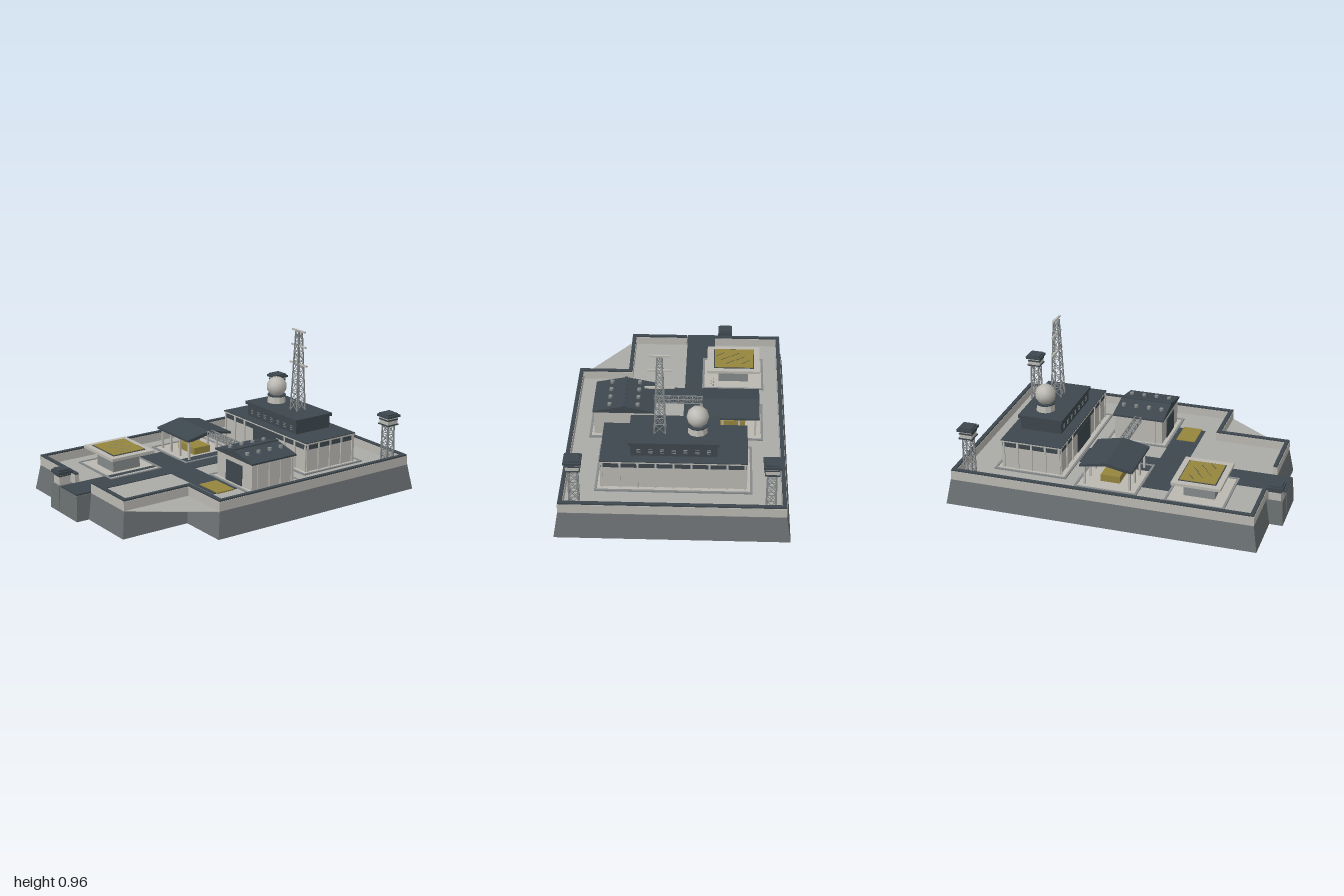
import * as THREE from 'three';
import { mergeGeometries } from 'three/addons/utils/BufferGeometryUtils.js';

const mat = (name, color) => {
  const m = new THREE.MeshStandardMaterial({ color });
  m.name = name;
  return m;
};

export function createModel() {
  const root = new THREE.Group();
  root.name = 'fortifiedBase';
  const rock = mat('foundation grey', 0x6b7072);
  const concrete = mat('pale concrete', 0xbab8b1);
  const ground = mat('ground grey', 0xaaaaa7);
  const slate = mat('dark slate', 0x3d474e);
  const steel = mat('steel grey', 0x85898a);
  const yellow = mat('marking yellow', 0x95853d);
  const G = 0.162; // ground level

  const add = (parent, name, geo, material) => {
    const m = new THREE.Mesh(geo, material);
    m.name = name;
    parent.add(m);
    return m;
  };
  const group = (name) => {
    const g = new THREE.Group();
    g.name = name;
    root.add(g);
    return g;
  };
  // Box given by its extents
  const boxGeo = (x0, x1, y0, y1, z0, z1) =>
    new THREE.BoxGeometry(x1 - x0, y1 - y0, z1 - z0).translate((x0 + x1) / 2, (y0 + y1) / 2, (z0 + z1) / 2);
  const box = (p, name, m, ...e) => add(p, name, boxGeo(...e), m);
  // Plan outline [x, z] raised to a height
  const toShape = (pts) => new THREE.Shape(pts.map(([x, z]) => new THREE.Vector2(x, -z)));
  const raise = (shape, y0, h) =>
    new THREE.ExtrudeGeometry(shape, { depth: h, bevelEnabled: false }).rotateX(-Math.PI / 2).translate(0, y0, 0);
  // Block whose top edges lean in towards (cx, cz)
  const battered = (pts, h, inset, cx, cz) => {
    const g = raise(toShape(pts), 0, h), a = g.attributes.position;
    for (let i = 0; i < a.count; i++) {
      if (a.getY(i) < h / 2) continue;
      a.setX(i, a.getX(i) - inset * Math.sign(a.getX(i) - cx));
      a.setZ(i, a.getZ(i) - inset * Math.sign(a.getZ(i) - cz));
    }
    g.computeVertexNormals();
    return g;
  };
  const rect = (x0, x1, z0, z1) => [[x0, z1], [x1, z1], [x1, z0], [x0, z0]];
  // Square bar between two points
  const beam = (a, b, t) => {
    const A = new THREE.Vector3(...a), B = new THREE.Vector3(...b), d = B.clone().sub(A);
    const q = new THREE.Quaternion().setFromUnitVectors(new THREE.Vector3(0, 1, 0), d.clone().normalize());
    return new THREE.BoxGeometry(t, d.length(), t).applyQuaternion(q).translate(...A.add(B).multiplyScalar(0.5).toArray());
  };
  // Square lattice tower with crossed braces
  const lattice = (x, z, y0, y1, r0, r1, bays, t) => {
    const corner = (k, f) => {
      const r = r0 + (r1 - r0) * f, c = [[1, 1], [-1, 1], [-1, -1], [1, -1]][k % 4];
      return [x + c[0] * r, y0 + (y1 - y0) * f, z + c[1] * r];
    };
    const parts = [];
    for (let k = 0; k < 4; k++) {
      parts.push(beam(corner(k, 0), corner(k, 1), t));
      for (let i = 0; i < bays; i++) {
        const a = i / bays, b = (i + 1) / bays;
        parts.push(beam(corner(k, a), corner(k + 1, b), t * 0.4), beam(corner(k + 1, a), corner(k, b), t * 0.4),
          beam(corner(k, b), corner(k + 1, b), t * 0.5));
      }
    }
    return mergeGeometries(parts);
  };
  // Curb framing a building plot
  const curb = (p, x0, x1, z0, z1) => {
    const s = toShape(rect(x0, x1, z0, z1));
    s.holes.push(toShape(rect(x0 + 0.014, x1 - 0.014, z0 + 0.014, z1 - 0.014)));
    add(p, 'plotCurb', raise(s, G, 0.008), steel);
    box(p, 'plotPaving', concrete, x0 + 0.014, x1 - 0.014, G, G + 0.004, z0 + 0.014, z1 - 0.014);
  };

  // Foundation with a corner notch, and the entrance blocks
  const base = group('foundation');
  add(base, 'foundationBlock', battered(
    [[-0.68, 0.92], [0.362, 0.92], [0.362, 0.48], [0.68, 0.48], [0.68, -1], [-0.68, -1]], 0.157, 0.026, 0, 0), rock);
  add(base, 'gateBlock', battered(rect(-0.235, -0.022, 0.85, 1), 0.157, 0.008, -0.13, 0.925), rock);
  add(base, 'guardBlock', battered(rect(-0.34, -0.235, 0.85, 1), 0.157, 0.008, -0.288, 0.925), rock);
  add(base, 'ground', raise(toShape(
    [[-0.65, 0.89], [0.332, 0.89], [0.332, 0.45], [0.65, 0.45], [0.65, -0.97], [-0.65, -0.97]]), 0.157, 0.005), ground);
  add(base, 'notchDeck', raise(toShape([[0.334, 0.89], [0.654, 0.452], [0.334, 0.452]]), 0.154, 0.004), ground);

  // Perimeter wall, open at the gate
  const walls = group('perimeterWall');
  const path = [[-0.03, 0.88], [0.322, 0.88], [0.322, 0.44], [0.64, 0.44], [0.64, -0.956], [-0.64, -0.956], [-0.64, 0.88], [-0.22, 0.88]];
  for (let i = 0; i < path.length - 1; i++) {
    const [ax, az] = path[i], [bx, bz] = path[i + 1];
    const run = (name, m, w, y0, y1) => {
      const ex = az === bz ? 0 : w, ez = az === bz ? w : 0;
      const e0 = i === 0 ? 0 : w, e1 = i === path.length - 2 ? 0 : w;
      const x0 = ex ? ax - w : Math.min(ax, bx) - (ax < bx ? e0 : e1);
      const x1 = ex ? ax + w : Math.max(ax, bx) + (ax < bx ? e1 : e0);
      const z0 = ez ? az - w : Math.min(az, bz) - w, z1 = ez ? az + w : Math.max(az, bz) + w;
      box(walls, name, m, x0, x1, y0, y1, z0, z1);
    };
    run('wallSegment', concrete, 0.0145, 0.157, 0.215);
    run('wallCap', slate, 0.012, 0.215, 0.224);
  }

  // Roads and ground markings
  const roads = group('roads');
  box(roads, 'mainRoad', slate, -0.22, -0.035, 0.157, G + 0.004, -0.305, 0.99);
  box(roads, 'crossRoad', slate, -0.415, 0.41, 0.157, G + 0.0035, 0.157, 0.33);
  box(roads, 'rearMarking', yellow, -0.115, 0.11, G, G + 0.008, -0.26, -0.125);
  box(roads, 'sideMarking', yellow, 0.235, 0.42, G, G + 0.008, 0.185, 0.305);

  // Guard booth beside the gate
  const booth = group('guardBooth');
  box(booth, 'boothBody', concrete, -0.325, -0.255, 0.157, 0.222, 0.905, 0.98);
  box(booth, 'boothWindows', slate, -0.327, -0.253, 0.208, 0.216, 0.903, 0.982);
  box(booth, 'boothRoof', slate, -0.336, -0.242, 0.222, 0.24, 0.895, 0.991);
  box(booth, 'boothRoofTop', slate, -0.325, -0.253, 0.24, 0.25, 0.905, 0.981);

  // Rear headquarters
  const hq = group('headquarters');
  curb(hq, -0.46, 0.46, -0.77, -0.31);
  box(hq, 'lowerStorey', concrete, -0.42, 0.42, G, 0.342, -0.725, -0.355);
  box(hq, 'windowBand', slate, -0.423, 0.423, 0.305, 0.334, -0.728, -0.352);
  box(hq, 'roofEdge', concrete, -0.43, 0.43, 0.339, 0.347, -0.735, -0.345);
  box(hq, 'roof', slate, -0.429, 0.429, 0.347, 0.352, -0.734, -0.346);
  box(hq, 'mainDoor', slate, -0.115, 0.12, G, 0.305, -0.356, -0.35);
  for (let i = 0; i <= 8; i++) {
    const x = -0.416 + i * 0.104;
    box(hq, 'rearPilaster', concrete, x - 0.006, x + 0.006, G, 0.34, -0.733, -0.72);
    if (x < -0.12 || x > 0.125) box(hq, 'frontPilaster', concrete, x - 0.006, x + 0.006, G, 0.34, -0.36, -0.347);
  }
  for (let i = 0; i <= 4; i++) {
    const z = -0.718 + i * 0.089;
    for (const s of [-1, 1]) box(hq, 'sidePilaster', concrete, s * 0.421 - 0.007, s * 0.421 + 0.007, G, 0.34, z - 0.006, z + 0.006);
  }
  box(hq, 'upperStorey', slate, -0.252, 0.252, 0.352, 0.43, -0.672, -0.408);
  box(hq, 'upperRoof', slate, -0.264, 0.264, 0.428, 0.447, -0.684, -0.396);
  for (let i = 0; i < 7; i++)
    for (let j = 0; j < 3; j++)
      for (const z of [-0.673, -0.407])
        box(hq, 'louvre', steel, -0.216 + i * 0.068, -0.192 + i * 0.068, 0.372 + j * 0.011, 0.375 + j * 0.011, z - 0.002, z + 0.002);

  // Faceted dome on its pedestal
  const dome = group('radarDome');
  add(dome, 'pedestal', new THREE.CylinderGeometry(0.053, 0.06, 0.045, 10).toNonIndexed().translate(-0.135, 0.469, -0.55), concrete).geometry.computeVertexNormals();
  add(dome, 'pedestalRing', new THREE.CylinderGeometry(0.06, 0.06, 0.008, 12).translate(-0.135, 0.494, -0.55), slate);
  add(dome, 'domeShell', new THREE.IcosahedronGeometry(0.066, 1).translate(-0.135, 0.55, -0.55), concrete);

  // Radio mast
  const mast = group('radioMast');
  add(mast, 'mastLattice', lattice(0.085, -0.55, 0.447, 0.955, 0.033, 0.014, 8, 0.007), steel);
  for (const [y, w] of [[0.745, 0.085], [0.862, 0.071], [0.958, 0.061]])
    box(mast, 'crossArm', concrete, 0.085 - w, 0.085 + w, y - 0.005, y + 0.005, -0.556, -0.544);

  // Rear corner watchtowers
  for (const s of [-1, 1]) {
    const t = group(s > 0 ? 'leftWatchtower' : 'rightWatchtower'), x = s * 0.564, z = -0.885;
    const tier = (name, m, r, y0, y1) => box(t, name, m, x - r, x + r, y0, y1, z - r, z + r);
    add(t, 'towerLegs', lattice(x, z, G, 0.415, 0.027, 0.025, 4, 0.008), steel);
    tier('cabinFloor', slate, 0.044, 0.412, 0.42);
    tier('cabin', concrete, 0.039, 0.42, 0.464);
    tier('cabinWindows', slate, 0.041, 0.443, 0.453);
    tier('towerRoof', slate, 0.051, 0.464, 0.478);
    tier('towerRoofTop', slate, 0.041, 0.478, 0.487);
  }

  // Gabled hall on the left
  const hall = group('gabledHall');
  curb(hall, 0.115, 0.535, -0.235, 0.155);
  const gable = (pts, z0, z1) =>
    new THREE.ExtrudeGeometry(new THREE.Shape(pts.map((p) => new THREE.Vector2(...p))), { depth: z1 - z0, bevelEnabled: false }).translate(0, 0, z0);
  add(hall, 'hallBody', gable([[0.15, G], [0.5, G], [0.5, 0.33], [0.325, 0.366], [0.15, 0.33]], -0.195, 0.115), concrete);
  add(hall, 'hallRoof', gable([[0.137, 0.325], [0.15, 0.327], [0.5, 0.327], [0.513, 0.325], [0.513, 0.336], [0.325, 0.374], [0.137, 0.336]], -0.205, 0.125), slate);
  box(hall, 'ridgeCap', slate, 0.315, 0.335, 0.368, 0.379, -0.205, 0.125);
  box(hall, 'hallDoor', slate, 0.245, 0.405, G, 0.293, 0.114, 0.121);
  for (const s of [-1, 1])
    for (let i = 0; i < 4; i++) {
      const z = -0.165 + i * 0.083, x = 0.325 + s * 0.175, v = 0.325 + s * 0.086;
      add(hall, 'roofVent', new THREE.CylinderGeometry(0.013, 0.013, 0.024, 8).translate(v, 0.36, z), steel);
      box(hall, 'hallPilaster', concrete, x - 0.007, x + 0.007, G, 0.328, z - 0.02, z - 0.01);
    }

  // Open shed on the right
  const shed = group('openShed');
  curb(shed, -0.53, -0.135, -0.235, 0.155);
  add(shed, 'shedRoof', gable([[-0.125, 0.29], [0, 0.315], [0.165, 0.29], [0.165, 0.303], [0, 0.336], [-0.165, 0.303], [-0.165, 0.29]], -0.175, 0.175)
    .rotateY(Math.PI / 2).translate(-0.33, 0, -0.04), slate);
  for (const z of [-0.18, 0.1]) {
    box(shed, 'shedBeam', concrete, -0.49, -0.17, 0.278, 0.292, z - 0.006, z + 0.006);
    for (const x of [-0.48, -0.38, -0.28, -0.18]) box(shed, 'shedPost', concrete, x - 0.006, x + 0.006, G, 0.29, z - 0.006, z + 0.006);
  }
  box(shed, 'storedCrates', yellow, -0.42, -0.24, G, 0.21, -0.1, 0.02);

  // Truss bridge linking shed and hall
  const truss = [];
  for (const z of [-0.06, -0.02])
    for (const y of [0.309, 0.336]) truss.push(beam([-0.155, y, z], [0.15, y, z], 0.005));
  for (let i = 0; i <= 10; i++) {
    const x = -0.15 + i * 0.029;
    for (const y of [0.309, 0.336]) truss.push(beam([x, y, -0.06], [x, y, -0.02], 0.004));
    for (const z of [-0.06, -0.02]) {
      truss.push(beam([x, 0.309, z], [x, 0.336, z], 0.004));
      if (i < 10) truss.push(beam([x, i % 2 ? 0.336 : 0.309, z], [x + 0.029, i % 2 ? 0.309 : 0.336, z], 0.003));
    }
  }
  add(group('pipeBridge'), 'bridgeTruss', mergeGeometries(truss), steel);

  // Raised landing platform
  const pad = group('landingPlatform');
  curb(pad, -0.54, -0.145, 0.325, 0.69);
  box(pad, 'platformCore', steel, -0.44, -0.25, G, 0.262, 0.42, 0.61);
  box(pad, 'platformDeck', concrete, -0.515, -0.175, 0.262, 0.28, 0.36, 0.66);
  box(pad, 'markingBorder', slate, -0.477, -0.218, 0.28, 0.283, 0.395, 0.625);
  box(pad, 'landingMarking', yellow, -0.471, -0.224, 0.28, 0.286, 0.401, 0.619);
  for (let i = 0; i < 6; i++) {
    const x = -0.43 + i * 0.033, z = 0.46 + (i % 3) * 0.045;
    add(pad, 'hatchStripe', beam([x - 0.02, 0.285, z + 0.025], [x + 0.035, 0.285, z - 0.02], 0.004), slate);
  }
  return root;
}
